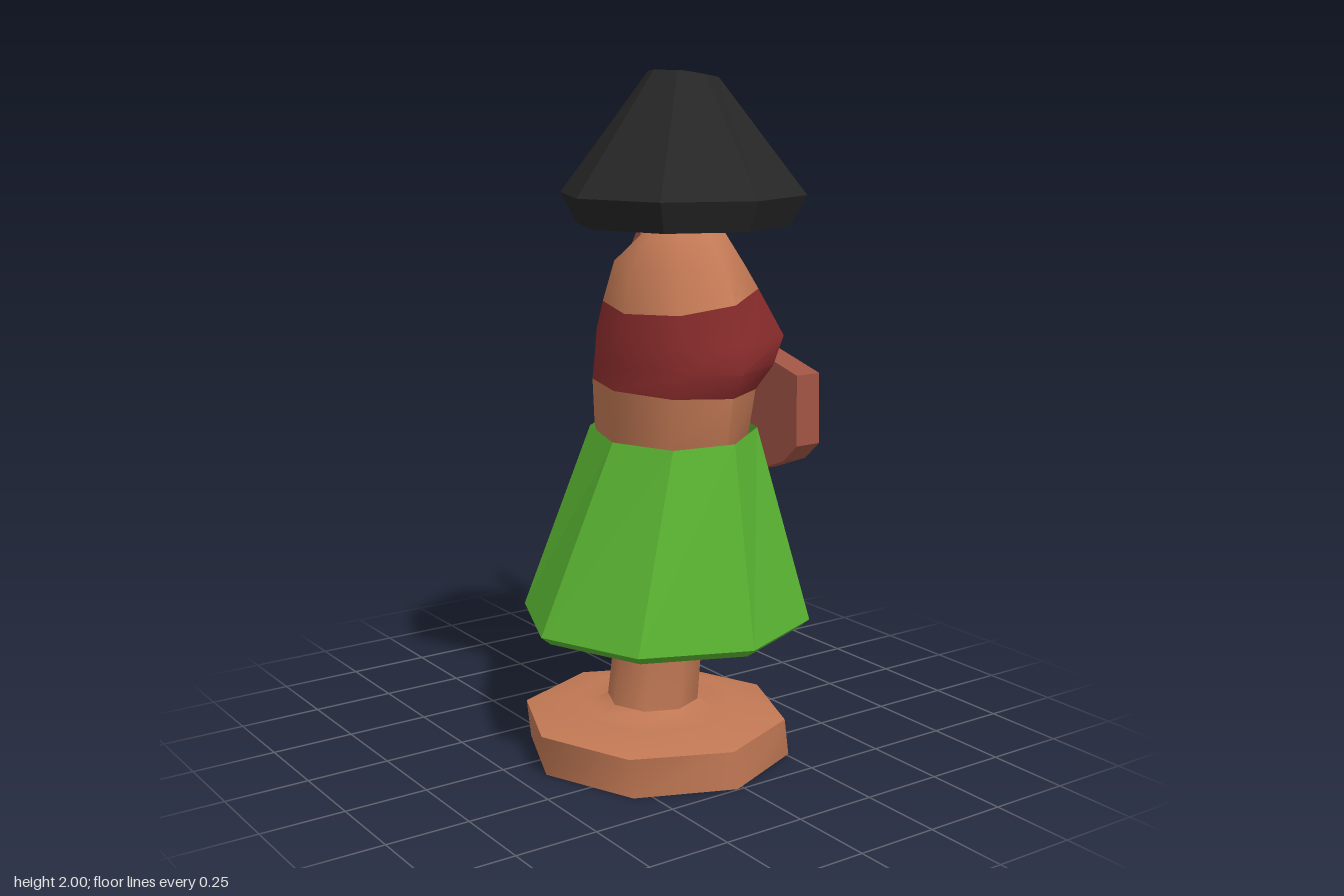
import * as THREE from 'three';
import { toCreasedNormals } from 'three/addons/utils/BufferGeometryUtils.js';

const mat = (color, flat = false) => new THREE.MeshStandardMaterial({ color, flatShading: flat, side: THREE.DoubleSide });
const skin = mat(0xc17854), red = mat(0x8b2c2c), green = mat(0x5ab532, true);
const black = mat(0x262626, true), wood = mat(0xa05444, true), dark = mat(0x111111, true);

// A ring point; ring = [y, cx, cz, rx, rz, tilt toward +x, bulge at the two front corners]
function ringPoint([y, cx, cz, rx, rz = rx, tilt = 0, bulge = 0], a) {
  const c = Math.cos(a);
  return [cx + rx * c + (c > 0.6 && c < 0.8 ? bulge : 0), y + tilt * c, cz + rz * Math.sin(a)];
}

// Skin joining rings listed from bottom to top; endFan closes the ends of a partial sweep
function loft(rings, n = 8, start = 0, length = Math.PI * 2, endFan = []) {
  const pos = [], idx = [], w = n + 1;
  for (const r of rings)
    for (let j = 0; j <= n; j++) pos.push(...ringPoint(r, start + (j === n && length > 6 ? 0 : (length * j) / n)));
  for (let i = 0; i < rings.length - 1; i++)
    for (let j = 0; j < n; j++) {
      const a = i * w + j, b = a + w;
      idx.push(a, b, a + 1, b, b + 1, a + 1);
    }
  for (const [p, q, r] of endFan) {
    idx.push(p * w, r * w, q * w);
    idx.push(p * w + n, q * w + n, r * w + n);
  }
  const g = new THREE.BufferGeometry();
  g.setAttribute('position', new THREE.Float32BufferAttribute(pos, 3));
  g.setIndex(idx);
  return toCreasedNormals(g, 0.95);
}

// Outline in the (-z, y) plane, extruded along x from x0 to x1
function slab(points, x0, x1) {
  const shape = new THREE.Shape(points.map(([u, v]) => new THREE.Vector2(u, v)));
  const g = new THREE.ExtrudeGeometry(shape, { depth: x1 - x0, bevelEnabled: false });
  return g.rotateY(Math.PI / 2).translate(x0, 0, 0);
}

export function createModel() {
  const model = new THREE.Group();
  const add = (name, geometry, material, parent = model) => {
    const m = new THREE.Mesh(geometry, material);
    m.name = name;
    parent.add(m);
    return m;
  };

  // Hollow plinth running into the single leg column
  add('base', loft([
    [0, -0.02, 0.102, 0.395], [0.115, -0.035, 0.102, 0.394, 0.394, -0.004],
    [0.148, -0.04, 0.105, 0.25], [0.142, -0.045, 0.108, 0.18], [0.165, -0.045, 0.108, 0.135],
  ]), skin);
  const waist = [1.11, 0.015, 0.123, 0.205, 0.288];
  add('legsAndWaist', loft([
    [0.16, -0.045, 0.108, 0.136], [0.4, -0.02, 0.11, 0.131],
    [0.75, 0, 0.115, 0.15, 0.2], [0.98, 0.005, 0.125, 0.192, 0.275], waist,
  ]), skin);

  // Chest band and bare shoulders share the neckline ring
  const neckline = [1.37, 0.02, 0.14, 0.185, 0.272, 0.04, 0.01];
  add('top', loft([
    waist, [1.18, 0.02, 0.14, 0.205, 0.305, 0, 0.035], [1.26, 0.025, 0.14, 0.21, 0.292, 0, 0.07], neckline,
  ]), red);
  add('shoulders', loft([
    neckline, [1.46, 0.027, 0.135, 0.168, 0.22], [1.555, 0.04, 0.145, 0.11, 0.115], [1.578, 0.04, 0.15, 0.04],
  ]), skin);

  // Neck and head
  add('head', loft([
    [1.55, 0.04, 0.155, 0.06, 0.055], [1.62, 0.04, 0.155, 0.055, 0.05], [1.66, 0.045, 0.156, 0.1, 0.095],
    [1.73, 0.045, 0.157, 0.125, 0.128], [1.81, 0.045, 0.157, 0.125, 0.122],
    [1.89, 0.042, 0.153, 0.11, 0.1], [1.95, 0.038, 0.148, 0.075, 0.065], [1.98, 0.034, 0.143, 0.001],
  ], 12), skin);

  // Eight-sided skirt with thickness and a turned-in hem
  add('skirt', loft([
    [0.96, 0.012, 0.125, 0.195, 0.285, 0.023], [0.41, 0, 0.108, 0.36], [0.395, 0, 0.108, 0.4],
    [0.42, 0, 0.108, 0.43], [0.985, 0.012, 0.125, 0.208, 0.3, 0.023],
  ]), green);

  // Thick bob of hair, open toward the face at +x, with a flat crown
  const hair = new THREE.Group();
  hair.name = 'hair';
  model.add(hair);
  const crown = [1.99, 0.034, 0.143, 0.1, 0.1, -0.012];
  add('hairSides', loft([
    [1.95, 0.034, 0.145, 0.09], [1.85, 0.03, 0.155, 0.165], [1.575, 0.017, 0.165, 0.2],
    [1.575, 0.012, 0.17, 0.305], [1.66, 0.017, 0.163, 0.352], crown,
  ], 6, Math.PI / 4, Math.PI * 1.5, [[1, 5, 0], [1, 4, 5], [1, 3, 4], [1, 2, 3]]), black, hair);
  add('hairCrown', loft([
    [1.95, 0.034, 0.145, 0.09], crown, [2, 0.034, 0.143, 0.001],
  ]), black, hair);

  // Small guitar held upright at the front
  const guitar = new THREE.Group();
  guitar.name = 'guitar';
  model.add(guitar);
  const body = slab([
    [-0.405, 0.945], [-0.345, 0.89], [-0.215, 0.84], [-0.06, 1.01], [0.05, 1.05], [0.12, 1.17],
    [0.135, 1.22], [0.07, 1.285], [-0.07, 1.29], [-0.17, 1.21], [-0.4, 1.15],
  ], 0.25, 0.333);
  // Back of the body thins toward the neck
  const p = body.attributes.position;
  for (let i = 0; i < p.count; i++)
    if (p.getX(i) < 0.3 && p.getZ(i) < -0.1) p.setX(i, 0.29);
  add('guitarBody', body, wood, guitar);
  add('guitarNeck', slab([[0.1, 1.18], [0.37, 1.315], [0.345, 1.365], [0.09, 1.225]], 0.292, 0.326), wood, guitar);
  add('guitarHeadstock', slab([[0.36, 1.3], [0.535, 1.385], [0.46, 1.5], [0.32, 1.385]], 0.29, 0.33), wood, guitar);
  const hole = add('soundHole', new THREE.CylinderGeometry(0.07, 0.07, 0.006, 8), dark, guitar);
  hole.rotation.set(0, Math.PI / 8, Math.PI / 2);
  hole.position.set(0.333, 1.14, 0.053);

  return model;
}
